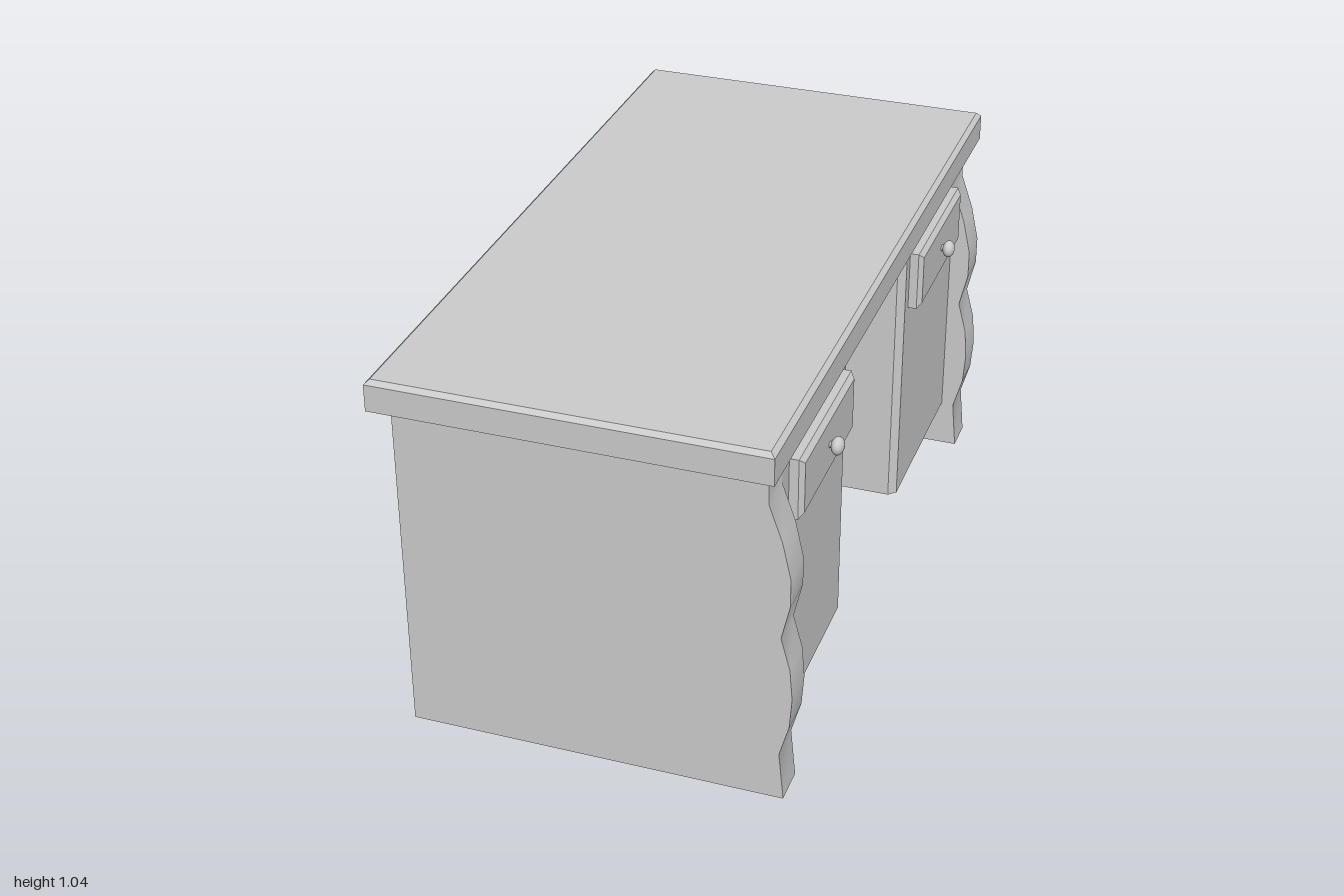
import * as THREE from 'three';
import { toCreasedNormals } from 'three/addons/utils/BufferGeometryUtils.js';

const material = new THREE.MeshStandardMaterial({ color: 0xcccccc, side: THREE.DoubleSide });

function add(parent, name, geometry, x = 0, y = 0, z = 0) {
  const mesh = new THREE.Mesh(geometry, material);
  mesh.name = name;
  mesh.position.set(x, y, z);
  parent.add(mesh);
  return mesh;
}

// Box given by its limits
function addBox(parent, name, x0, x1, y0, y1, z0, z1) {
  return add(parent, name, new THREE.BoxGeometry(x1 - x0, y1 - y0, z1 - z0),
    (x0 + x1) / 2, (y0 + y1) / 2, (z0 + z1) / 2);
}

// Slab with bevelled edges: stacked rectangles [height, halfX, halfZ], closed at both ends
function bevelledSlab(levels) {
  const rings = levels.map(([y, a, b]) => [[a, y, b], [a, y, -b], [-a, y, -b], [-a, y, b]]);
  const pos = [];
  const quad = (a, b, c, d) => pos.push(...a, ...b, ...c, ...a, ...c, ...d);
  for (let i = 0; i < rings.length - 1; i++) {
    for (let k = 0; k < 4; k++) {
      const n = (k + 1) % 4;
      quad(rings[i][k], rings[i][n], rings[i + 1][n], rings[i + 1][k]);
    }
  }
  const top = rings[rings.length - 1];
  quad(...top);
  quad(...[...rings[0]].reverse());
  const g = new THREE.BufferGeometry();
  g.setAttribute('position', new THREE.Float32BufferAttribute(pos, 3));
  g.computeVertexNormals();
  return g;
}

function shapeOf(points) {
  return new THREE.Shape(points.map(([x, y]) => new THREE.Vector2(x, y)));
}

export function createModel() {
  const desk = new THREE.Group();
  desk.name = 'desk';

  // Top with a wide bevel below and a narrow one above
  add(desk, 'deskTop', bevelledSlab([
    [0.925, 0.4775, 0.94], [0.96, 0.5125, 1], [1.033, 0.5125, 1], [1.045, 0.5, 0.988],
  ]), -0.0225);

  // End panel outline with a wavy front edge
  const panelShape = shapeOf([
    [-0.5, 0], [0.506, 0], [0.493, 0.136], [0.518, 0.227], [0.524, 0.313], [0.517, 0.4],
    [0.493, 0.49], [0.515, 0.587], [0.515, 0.665], [0.493, 0.765], [0.458, 0.865],
    [0.458, 0.925], [-0.5, 0.925],
  ]);
  const panelGeometry = toCreasedNormals(
    new THREE.ExtrudeGeometry(panelShape, { depth: 0.102, bevelEnabled: false }), 0.7);

  // Drawer front, its outer face turned to +x
  const drawerGeometry = bevelledSlab([
    [0, 0.084, 0.223], [0.024, 0.084, 0.223], [0.036, 0.07, 0.209],
  ]).rotateZ(-Math.PI / 2);

  for (const side of [1, -1]) {
    const name = side > 0 ? 'left' : 'right';
    add(desk, name + 'EndPanel', panelGeometry, 0, 0, side > 0 ? 0.835 : -0.937);

    // Pedestal with chamfered front corner and a small fillet in the rear recess
    const footprint = shapeOf([
      [-0.5, 0.835], [0.458, 0.835], [0.458, 0.3], [0.438, 0.28], [-0.28, 0.28],
      [-0.28, 0.26], [-0.3, 0.26], [-0.32, 0.28], [-0.5, 0.28],
    ].map(([x, z]) => [x, -z * side]));
    const pedestal = new THREE.ExtrudeGeometry(footprint, { depth: 0.785, bevelEnabled: false });
    add(desk, name + 'Pedestal', pedestal.rotateX(-Math.PI / 2), 0, 0.14);

    // Drawer and knob
    const drawer = new THREE.Group();
    drawer.name = name + 'Drawer';
    drawer.position.set(0.458, 0.814, side * 0.557);
    desk.add(drawer);
    add(drawer, 'drawerFront', drawerGeometry);
    add(drawer, 'knobStem', new THREE.CylinderGeometry(0.009, 0.009, 0.03, 16).rotateZ(Math.PI / 2), 0.042);
    add(drawer, 'knob', new THREE.SphereGeometry(0.024, 24, 16), 0.056).scale.x = 0.7;
  }

  // Rail over the kneehole, panel across it, and shelf floor of the rear recess
  addBox(desk, 'kneeholeRail', -0.5, 0.438, 0.87, 0.925, -0.28, 0.28);
  addBox(desk, 'kneeholePanel', -0.3, -0.28, 0.14, 0.87, -0.26, 0.26);
  addBox(desk, 'recessFloor', -0.5, -0.28, 0.14, 0.143, -0.28, 0.28);

  return desk;
}
